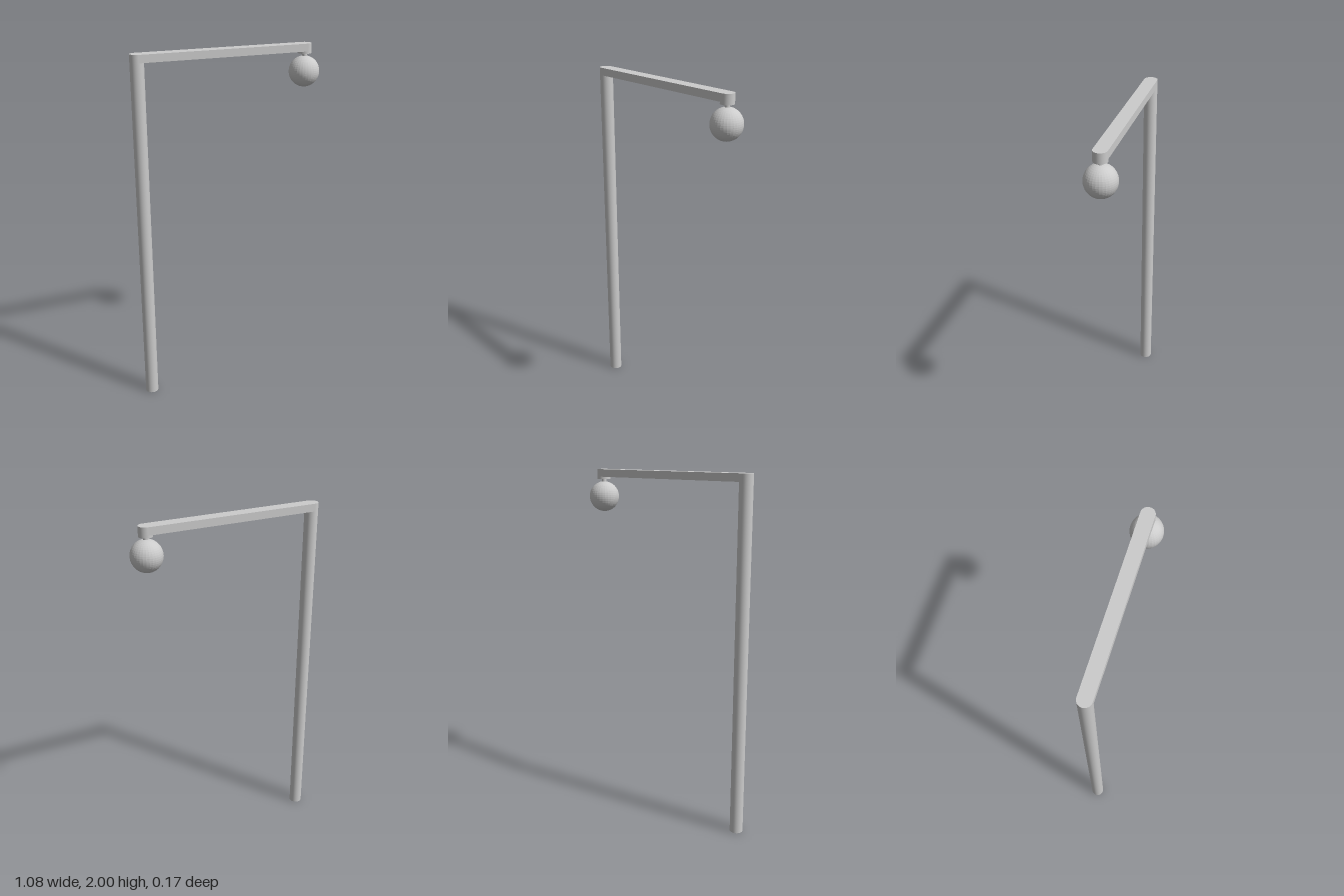
import * as THREE from 'three';

export function createModel() {
  const group = new THREE.Group();
  const material = new THREE.MeshStandardMaterial({ color: 0xcccccc });
  const facetedMaterial = new THREE.MeshStandardMaterial({ color: 0xcccccc, flatShading: true });

  const RADIUS = 0.037;   // shared by post, arm and lamp holder
  const POST_X = -0.505;
  const LAMP_X = 0.455;
  const TOP = 2;

  function add(name, geometry, x, y, mat = material) {
    const mesh = new THREE.Mesh(geometry, mat);
    mesh.name = name;
    mesh.position.set(x, y, 0);
    group.add(mesh);
  }

  // Upright cylinder between two heights
  function addCylinder(name, radius, x, bottom, top) {
    const geometry = new THREE.CylinderGeometry(radius, radius, top - bottom, 32);
    add(name, geometry, x, (bottom + top) / 2);
  }

  // Post and the horizontal arm, whose ends are rounded by the cylinders
  addCylinder('post', RADIUS, POST_X, 0, TOP);
  add('arm', new THREE.BoxGeometry(LAMP_X - POST_X, 0.042, RADIUS * 2),
    (POST_X + LAMP_X) / 2, TOP - 0.021);

  // Lamp holder, short stem and globe
  addCylinder('lampHolder', RADIUS, LAMP_X, 1.945, TOP);
  addCylinder('lampStem', 0.013, LAMP_X, 1.92, 1.95);
  add('globe', new THREE.SphereGeometry(0.085, 32, 24), LAMP_X, 1.846, facetedMaterial);

  return group;
}
